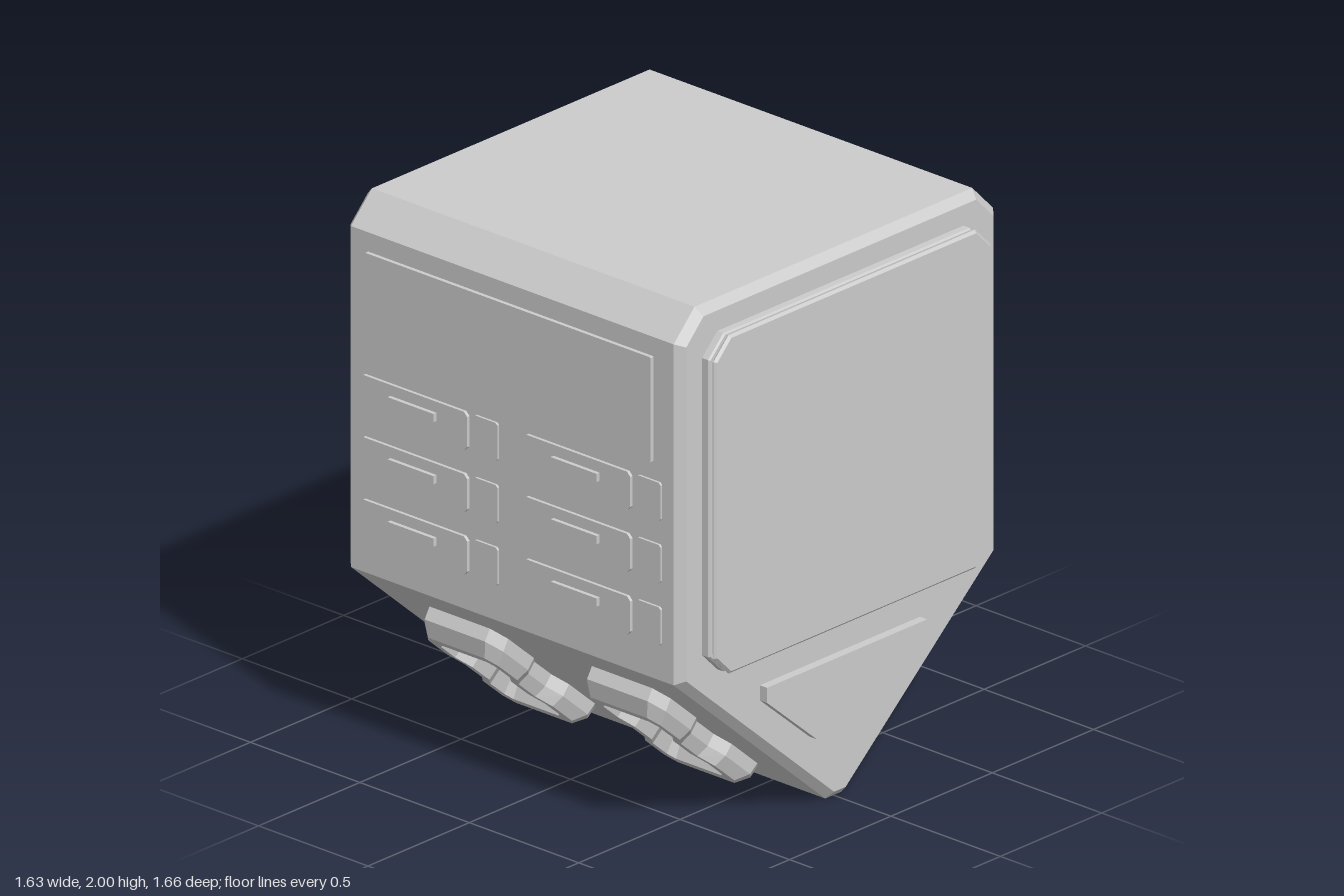
import * as THREE from 'three';

const material = new THREE.MeshStandardMaterial({ color: 0xcccccc, flatShading: true });

function mesh(name, geometry, parent) {
  const m = new THREE.Mesh(geometry, material);
  m.name = name;
  parent.add(m);
  return m;
}

// Outline extruded from z0 to z1, with an optional chamfer kept inside the outline
function slab(points, z0, z1, bevel = 0) {
  const shape = new THREE.Shape(points.map(([x, y]) => new THREE.Vector2(x, y)));
  const g = new THREE.ExtrudeGeometry(shape, {
    depth: z1 - z0 - 2 * bevel, bevelEnabled: bevel > 0, bevelSize: bevel,
    bevelThickness: bevel, bevelOffset: -bevel, bevelSegments: 1,
  });
  return g.translate(0, 0, z0 + bevel);
}

// Rectangle with cut corners, counter-clockwise
function cutRect(x0, x1, y0, y1, c) {
  return [[x0 + c, y0], [x1 - c, y0], [x1, y0 + c], [x1, y1 - c],
    [x1 - c, y1], [x0 + c, y1], [x0, y1 - c], [x0, y0 + c]];
}

// Waisted loop of half width w and half length l
function waistedLoop(w, l, waist, c, d) {
  const q = [[waist, 0.055], [w, 0.115], [w, l - c], [w - c * 0.7, l]];
  const mirror = (sx, sy) => q.map(([x, y]) => [x * sx, y * sy, d]);
  return [...mirror(1, 1), ...mirror(-1, 1).reverse(), ...mirror(-1, -1), ...mirror(1, -1).reverse()];
}

// Ring foot lofted through four loops: outer base, outer lip, inner lip, inner base
function footGeometry() {
  const loops = [
    waistedLoop(0.18, 0.345, 0.14, 0.06, -0.01),
    waistedLoop(0.18, 0.335, 0.14, 0.06, 0.045),
    waistedLoop(0.16, 0.285, 0.122, 0.045, 0.09),
    waistedLoop(0.125, 0.236, 0.088, 0.03, 0.09),
    waistedLoop(0.112, 0.2, 0.075, 0.02, 0),
  ];
  const n = loops[0].length, index = [];
  for (let j = 0; j < loops.length - 1; j++) {
    for (let i = 0; i < n; i++) {
      const k = (i + 1) % n, a = j * n + i, b = j * n + k;
      index.push(a, b, b + n, a, b + n, a + n);
    }
  }
  const g = new THREE.BufferGeometry();
  g.setAttribute('position', new THREE.Float32BufferAttribute(loops.flat(2), 3));
  g.setIndex(index);
  g.computeVertexNormals();
  return g;
}

// Everything on the front and the left side; the other half is a half turn of it
function createHalf() {
  const half = new THREE.Group();

  // Large front panel: base plate, shadow groove and face plate
  const panel = new THREE.Group();
  panel.name = 'frontPanel';
  half.add(panel);
  mesh('panelBase', slab(cutRect(-0.68, 0.685, 0.66, 1.895, 0.075), 0.75, 0.8, 0.006), panel);
  mesh('panelGroove', slab(cutRect(-0.665, 0.67, 0.675, 1.88, 0.07), 0.79, 0.815), panel);
  mesh('panelFace', slab(cutRect(-0.68, 0.685, 0.66, 1.895, 0.075), 0.808, 0.828, 0.009), panel);

  // Lower plate
  mesh('lowerPlate', slab([[-0.15, 0.27], [0.15, 0.27], [0.395, 0.48], [0.395, 0.535],
    [-0.395, 0.535], [-0.395, 0.48]], 0.75, 0.8), half);

  // Side details, drawn facing +z and turned to face +x
  const side = new THREE.Group();
  side.name = 'sideDetails';
  side.rotation.y = Math.PI / 2;
  half.add(side);
  mesh('sidePanel', slab(cutRect(-0.66, 0.645, 1.44, 1.825, 0.002), 0.78, 0.803), side);
  for (const y of [1.305, 1.078, 0.85]) {
    for (const x of [-0.44, 0.305]) {
      mesh('drawer', slab(cutRect(x - 0.245, x + 0.245, y - 0.07, y + 0.07, 0.015), 0.78, 0.8), side);
      mesh('drawerHandle', new THREE.BoxGeometry(0.21, 0.03, 0.03).translate(x, y + 0.015, 0.8), side);
      mesh('button', slab(cutRect(x + 0.27, x + 0.38, y - 0.07, y + 0.07, 0.008), 0.78, 0.797), side);
    }
  }

  // Ring feet on the sloping underside
  const along = new THREE.Vector3(0.75, 0.65, 0).normalize();
  const out = new THREE.Vector3(along.y, -along.x, 0);
  const basis = new THREE.Matrix4().makeBasis(new THREE.Vector3(0, 0, -1), along, out);
  for (const z of [0.368, -0.374]) {
    const foot = mesh('ringFoot', footGeometry(), half);
    foot.quaternion.setFromRotationMatrix(basis);
    foot.position.set(0.04, 0, z).addScaledVector(along, 0.465);
  }
  return half;
}

export function createModel() {
  const model = new THREE.Group();
  model.name = 'container';

  // Main body with chamfered top corners and a V-shaped underside
  mesh('body', slab([[-0.04, 0], [0.04, 0], [0.788, 0.65], [0.788, 1.895], [0.685, 2],
    [-0.685, 2], [-0.788, 1.895], [-0.788, 0.65]], -0.767, 0.767, 0.03), model);

  const front = createHalf();
  front.name = 'frontHalf';
  const back = createHalf();
  back.name = 'backHalf';
  back.rotation.y = Math.PI;
  model.add(front, back);
  return model;
}
